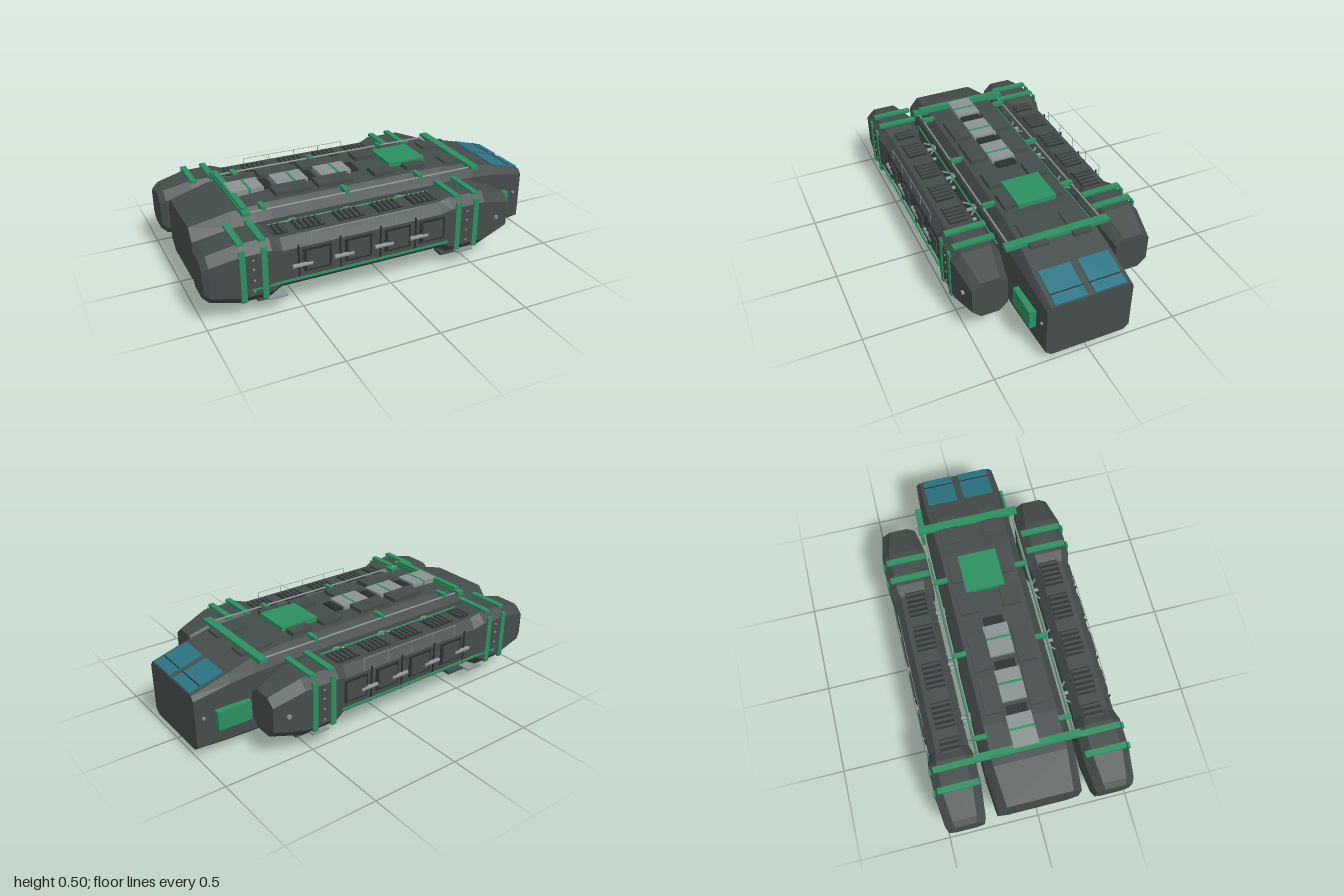
import * as THREE from 'three';

const mat = (color) => new THREE.MeshStandardMaterial({ color, flatShading: true, side: THREE.DoubleSide });
const DARK = mat(0x444c4a), BLACK = mat(0x2a302f), GREEN = mat(0x2a9060), GLASS = mat(0x2b7585), GREY = mat(0x8a9391);

function add(parent, name, geo, material, x = 0, y = 0, z = 0) {
  const m = new THREE.Mesh(geo, material);
  m.name = name;
  m.position.set(x, y, z);
  parent.add(m);
  return m;
}

const box = (parent, name, material, [x, y, z], [sx, sy, sz]) =>
  add(parent, name, new THREE.BoxGeometry(sx, sy, sz), material, x, y, z);

// Round bar between two points
function rod(parent, name, material, a, b, r, sides = 8) {
  const A = new THREE.Vector3(...a), B = new THREE.Vector3(...b), d = B.clone().sub(A);
  const m = add(parent, name, new THREE.CylinderGeometry(r, r, d.length(), sides), material);
  m.position.copy(A).addScaledVector(d, 0.5);
  m.quaternion.setFromUnitVectors(new THREE.Vector3(0, 1, 0), d.normalize());
  return m;
}

// Lofted chamfered body along x; section: [x, halfWidth, bottom, top, topCutZ, topCutY, lowCutZ, lowCutY]
function loft(sections) {
  const rings = sections.map(([x, w, b, t, tz, ty, lz, ly]) => [
    [w - lz, b], [w, b + ly], [w, t - ty], [w - tz, t],
    [-w + tz, t], [-w, t - ty], [-w, b + ly], [-w + lz, b],
  ].map(([u, y]) => [x, y, -u]));
  const pos = [];
  const tri = (...p) => p.forEach((v) => pos.push(...v));
  for (let i = 0; i + 1 < rings.length; i++) {
    const p = rings[i], q = rings[i + 1];
    for (let j = 0; j < 8; j++) {
      const k = (j + 1) % 8;
      tri(p[j], p[k], q[k]);
      tri(p[j], q[k], q[j]);
    }
  }
  const first = rings[0], last = rings[rings.length - 1];
  for (let j = 1; j < 7; j++) {
    tri(first[0], first[j + 1], first[j]);
    tri(last[0], last[j], last[j + 1]);
  }
  const g = new THREE.BufferGeometry();
  g.setAttribute('position', new THREE.Float32BufferAttribute(pos, 3));
  g.computeVertexNormals();
  return g;
}

function buildHull() {
  const hull = new THREE.Group();
  hull.name = 'hull';
  add(hull, 'hullBody', loft([
    [-0.97, 0.225, 0.10, 0.40, 0.05, 0.06, 0.06, 0.05],
    [-0.76, 0.24, 0.03, 0.45, 0.045, 0.07, 0.05, 0.045],
    [-0.55, 0.242, 0.015, 0.465, 0.045, 0.08, 0.05, 0.045],
    [0.45, 0.242, 0.015, 0.465, 0.045, 0.08, 0.05, 0.045],
    [0.66, 0.242, 0.015, 0.45, 0.035, 0.07, 0.05, 0.045],
    [0.80, 0.238, 0.025, 0.412, 0.025, 0.045, 0.04, 0.035],
    [1.0, 0.23, 0.04, 0.355, 0.02, 0.025, 0.03, 0.025],
  ]), DARK);
  box(hull, 'bellyPlate', GREY, [-0.06, 0.01, 0], [1.44, 0.018, 0.22]);
  for (const s of [1, -1]) {
    box(hull, 'bellyRail', BLACK, [-0.06, 0.012, s * 0.14], [1.4, 0.012, 0.03]);
    // Sloped cockpit windows with a centre divider
    const tilt = -Math.atan2(0.057, 0.2);
    box(hull, 'window', GLASS, [0.903, 0.386, s * 0.105], [0.195, 0.012, 0.17]).rotation.z = tilt;
    box(hull, 'windowBar', BLACK, [0.94, 0.377, s * 0.105], [0.006, 0.014, 0.17]).rotation.z = tilt;
    box(hull, 'cheekBox', GREEN, [0.80, 0.198, s * 0.248], [0.19, 0.106, 0.045]);
    rod(hull, 'cheekLamp', GREY, [0.955, 0.225, s * 0.225], [0.955, 0.225, s * 0.24], 0.008);
    // Roof panels
    for (const x of [-0.40, -0.16, 0.13, 0.325]) {
      box(hull, 'roofPanel', DARK, [x, 0.474, s * 0.12], [x < 0 ? 0.2 : 0.12, 0.03, 0.1]);
    }
    box(hull, 'roofPanel', DARK, [0.60, 0.46, s * 0.12], [0.18, 0.016, 0.1]).rotation.z = -0.06;
    // Long roof pipes and their clamps
    rod(hull, 'roofPipe', GREY, [-0.70, 0.455, s * 0.255], [0.64, 0.455, s * 0.255], 0.005);
    for (const x of [-0.60, -0.14, 0.30]) {
      box(hull, 'pipeClamp', GREEN, [x, 0.462, s * 0.225], [0.025, 0.022, 0.07]);
    }
  }
  // Cargo blocks along the roof centre
  for (const x of [-0.615, -0.365, -0.11]) {
    box(hull, 'cargoBlock', GREY, [x, 0.469, -0.005], [0.175, 0.036, 0.135]);
    box(hull, 'cargoStrap', GREEN, [x + 0.01, 0.473, -0.005], [0.012, 0.032, 0.14]);
    box(hull, 'cargoVent', BLACK, [x + 0.115, 0.466, -0.005], [0.05, 0.02, 0.11]);
  }
  box(hull, 'roofHatch', GREEN, [0.3, 0.488, -0.002], [0.22, 0.026, 0.215]);
  // Cross beams over the roof
  box(hull, 'rearBeam', GREEN, [-0.70, 0.46, 0], [0.04, 0.024, 0.57]);
  box(hull, 'rearBeamCap', GREEN, [-0.70, 0.478, 0], [0.03, 0.016, 0.5]);
  box(hull, 'frontBeam', GREEN, [0.635, 0.458, 0], [0.045, 0.022, 0.57]);
  return hull;
}

function buildPod(s) {
  const pod = new THREE.Group();
  pod.name = s > 0 ? 'leftPod' : 'rightPod';
  const zc = s * 0.397, out = (d) => s * d;
  add(pod, 'podBody', loft([
    [-1.0, 0.095, 0.16, 0.36, 0.04, 0.04, 0.04, 0.04],
    [-0.97, 0.108, 0.13, 0.385, 0.045, 0.045, 0.045, 0.045],
    [-0.82, 0.123, 0.095, 0.42, 0.045, 0.05, 0.045, 0.05],
    [-0.66, 0.123, 0.095, 0.42, 0.045, 0.05, 0.045, 0.05],
    [-0.60, 0.108, 0.125, 0.40, 0.04, 0.055, 0.04, 0.05],
    [0.29, 0.108, 0.125, 0.40, 0.04, 0.055, 0.04, 0.05],
    [0.35, 0.123, 0.095, 0.42, 0.045, 0.05, 0.045, 0.05],
    [0.55, 0.123, 0.095, 0.42, 0.045, 0.05, 0.045, 0.05],
    [0.72, 0.095, 0.14, 0.36, 0.045, 0.04, 0.045, 0.045],
  ]), DARK, 0, 0, zc);

  // Straps over the top and down the outer side
  for (const x of [-0.81, -0.70, 0.385, 0.495]) {
    box(pod, 'topStrap', GREEN, [x, 0.426, s * 0.39], [0.032, 0.016, 0.22]);
    box(pod, 'sideStrap', GREEN, [x, 0.26, out(0.519)], [0.03, 0.28, 0.012]);
  }
  for (const x of [-0.755, 0.44]) {
    for (const y of [0.17, 0.23, 0.29, 0.34]) {
      rod(pod, 'bolt', GREY, [x, y, out(0.51)], [x, y, out(0.524)], 0.006, 6);
    }
  }
  // Side doors with latches, and frames between them
  for (const x of [-0.42, -0.195, 0.03, 0.235]) {
    box(pod, 'doorFrame', BLACK, [x, 0.268, out(0.506)], [0.15, 0.125, 0.008]);
    box(pod, 'door', DARK, [x, 0.268, out(0.511)], [0.12, 0.1, 0.012]);
    rod(pod, 'latch', GREY, [x - 0.135, 0.25, out(0.513)], [x - 0.03, 0.25, out(0.513)], 0.011);
    rod(pod, 'sidePost', BLACK, [x - 0.1, 0.16, out(0.508)], [x - 0.1, 0.36, out(0.508)], 0.005, 6);
  }
  box(pod, 'sideRail', GREEN, [-0.22, 0.18, out(0.519)], [1.1, 0.01, 0.01]);

  // Slatted vents on top
  for (const x of [-0.62, -0.42, -0.195, 0.025, 0.23]) {
    box(pod, 'ventBase', BLACK, [x, 0.4, s * 0.385], [0.145, 0.01, 0.105]);
    for (let i = 0; i < 5; i++) {
      box(pod, 'ventSlat', DARK, [x - 0.058 + i * 0.029, 0.407, s * 0.385], [0.012, 0.012, 0.1]);
    }
  }
  // Thin guard wire
  rod(pod, 'guardWire', GREY, [-0.45, 0.415, out(0.5)], [0.18, 0.415, out(0.5)], 0.0018, 5);
  for (let i = 0; i < 5; i++) {
    const x = -0.45 + i * 0.1575;
    rod(pod, 'guardPost', GREY, [x, 0.35, out(0.5)], [x, 0.415, out(0.5)], 0.0018, 5);
  }
  // Braces joining pod and hull
  for (const x of [-0.45, -0.14, 0.17]) {
    for (const y of [0.28, 0.355]) {
      rod(pod, 'brace', GREY, [x, y, s * 0.23], [x, y, s * 0.295], 0.01);
    }
    for (const d of [-0.06, 0.06]) {
      rod(pod, 'diagonalBrace', GREY, [x, 0.365, s * 0.235], [x + d, 0.365, s * 0.292], 0.005, 6);
    }
  }
  rod(pod, 'bracePipe', GREEN, [-0.70, 0.368, s * 0.262], [0.5, 0.368, s * 0.262], 0.005, 6);

  // Landing legs
  for (const x of [-0.63, 0.45]) {
    box(pod, 'legMount', GREY, [x, 0.091, zc], [0.1, 0.009, 0.215]);
    rod(pod, 'legStrut', GREY, [x + 0.02, 0.09, s * 0.285], [x - 0.01, 0.022, s * 0.335], 0.011);
    box(pod, 'foot', DARK, [x, 0.014, s * 0.336], [0.13, 0.02, 0.066]);
  }
  rod(pod, 'noseLamp', GREY, [0.64, 0.255, out(0.498)], [0.64, 0.255, out(0.515)], 0.012);
  return pod;
}

export function createModel() {
  const model = new THREE.Group();
  model.name = 'transportShip';
  model.add(buildHull(), buildPod(1), buildPod(-1));
  return model;
}
